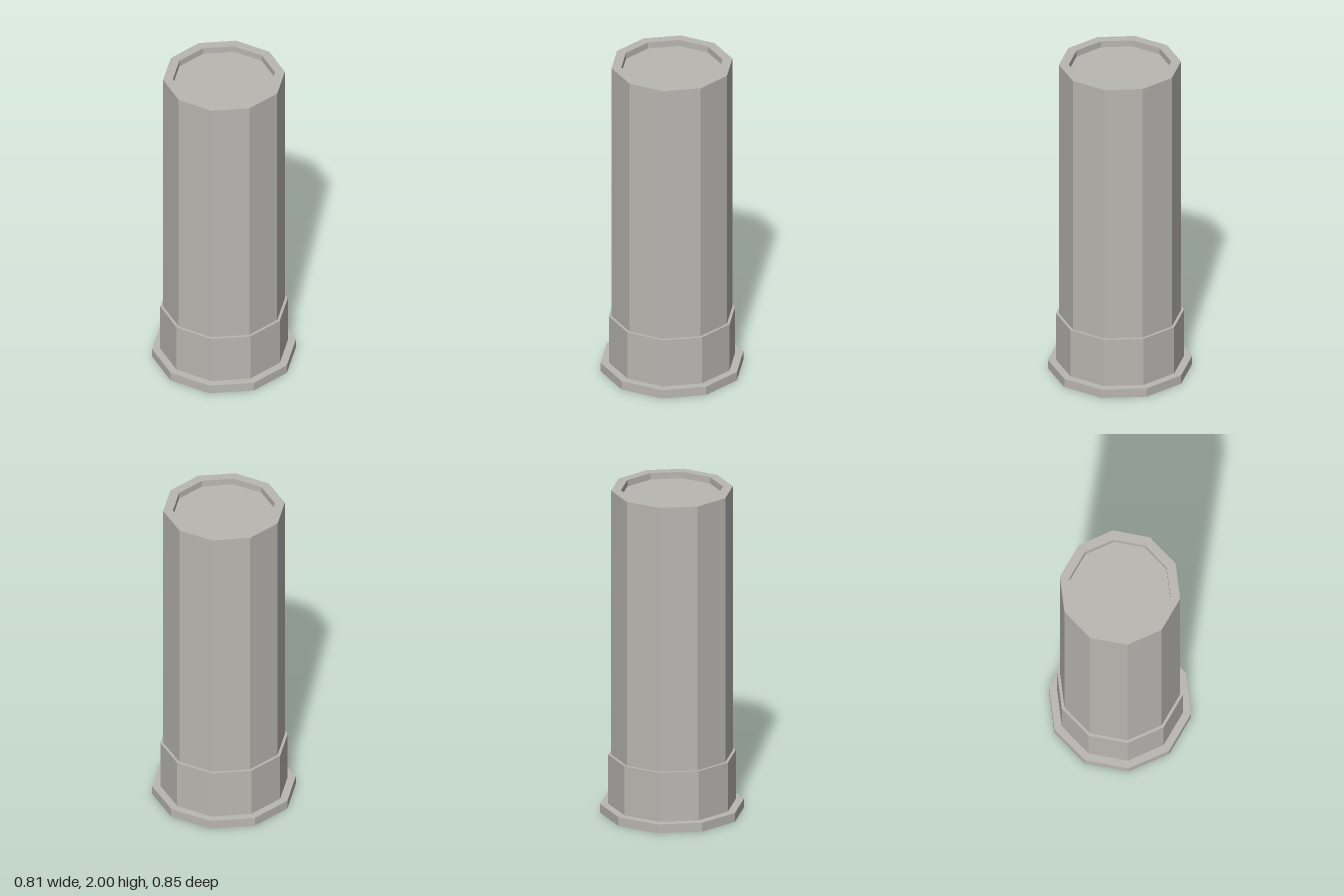
import * as THREE from 'three';

const SIDES = 10;

// Ten-sided turned part with hard facets; the profile runs [radius, height] up the outside
function turned(name, profile, material) {
  const points = profile.map(([r, y]) => new THREE.Vector2(r, y));
  const geometry = new THREE.LatheGeometry(points, SIDES).toNonIndexed();
  geometry.computeVertexNormals();
  const mesh = new THREE.Mesh(geometry, material);
  mesh.name = name;
  return mesh;
}

export function createModel() {
  const stone = new THREE.MeshStandardMaterial({ color: 0xbab7b2 });
  stone.name = 'warm grey';

  const baseR = 0.425, collarR = 0.377, shaftR = 0.36, recessR = 0.302;
  const baseTop = 0.055, collarTop = 0.36, top = 2, recessFloor = 1.96;

  const group = new THREE.Group();
  group.name = 'column';
  group.add(
    // Flat foot with closed underside
    turned('basePlate', [[0, 0], [baseR, 0], [baseR, baseTop], [collarR, baseTop]], stone),
    // Slightly wider sleeve around the bottom of the shaft
    turned('collar', [[collarR, baseTop], [collarR, collarTop], [shaftR, collarTop]], stone),
    // Shaft with a raised rim and shallow recess on top
    turned('shaft', [[shaftR, collarTop], [shaftR, top], [recessR, top], [recessR, recessFloor], [0, recessFloor]], stone)
  );
  return group;
}
